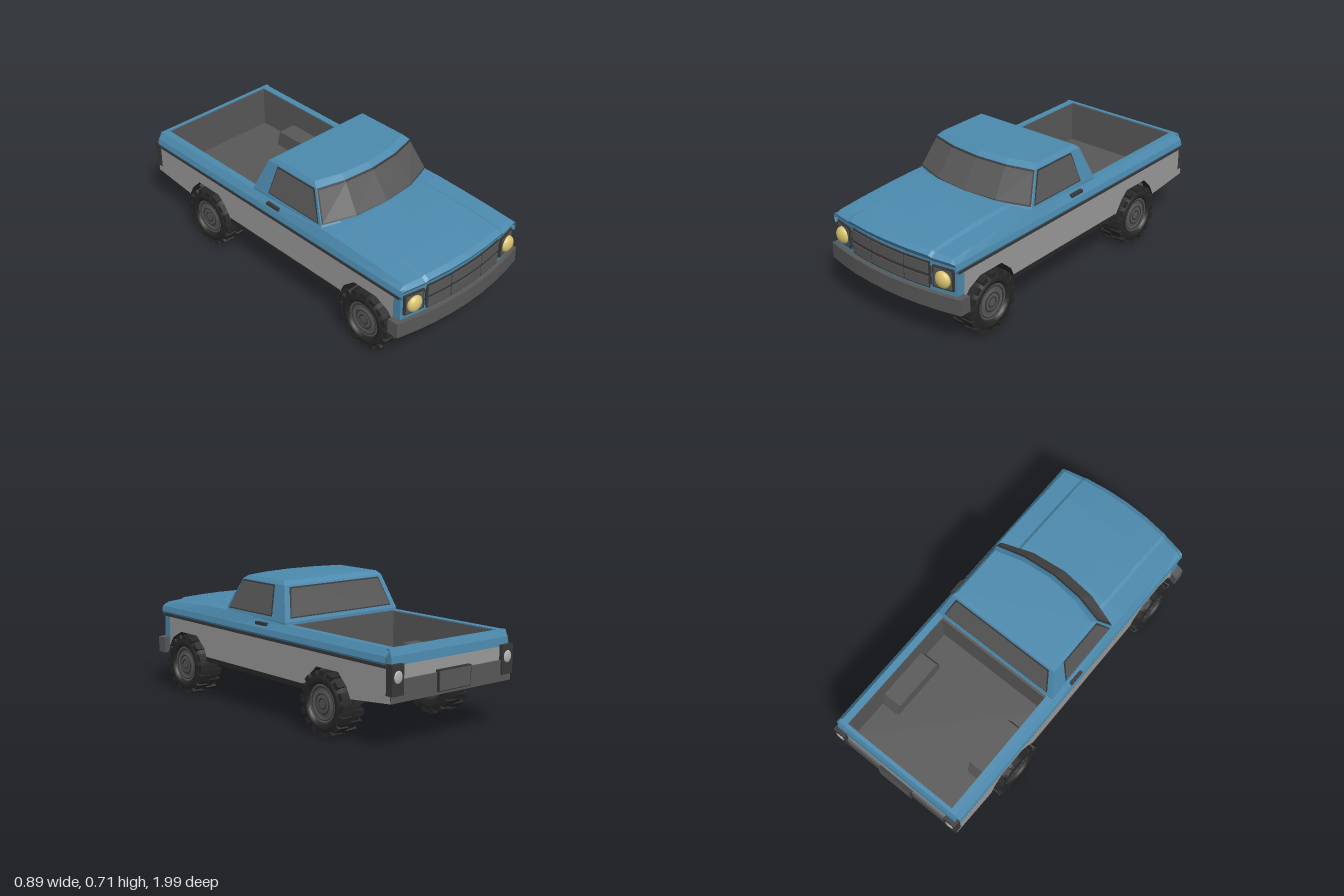
import * as THREE from 'three';

const material = (name, color, side = THREE.FrontSide) => {
  const m = new THREE.MeshStandardMaterial({ color, side });
  m.name = name;
  return m;
};

export function createModel() {
  const truck = new THREE.Group();
  truck.name = 'pickupTruck';
  const D = THREE.DoubleSide;
  const blue = material('bluePaint', 0x4c8aae, D);
  const silver = material('greyPaint', 0x9a9a9a);
  const grey = material('darkGrey', 0x585858, D);
  const trim = material('charcoalTrim', 0x383838, D);
  const black = material('blackRubber', 0x272727, D);
  const yellow = material('headlightYellow', 0xdcc470);
  const lens = material('tailLens', 0xb4b4b4);

  const add = (name, geometry, mat, parent = truck) => {
    const mesh = new THREE.Mesh(geometry, mat);
    mesh.name = name;
    parent.add(mesh);
    return mesh;
  };
  // Box given by its limits on each axis
  const box = (name, mat, [x0, x1], [y0, y1], [z0, z1], parent) =>
    add(name, new THREE.BoxGeometry(x1 - x0, y1 - y0, z1 - z0)
      .translate((x0 + x1) / 2, (y0 + y1) / 2, (z0 + z1) / 2), mat, parent);
  // Box bowed backwards towards its ends, like the nose of the truck
  const bowed = (name, mat, [x0, x1], [y0, y1], [z0, z1]) => {
    const g = new THREE.BoxGeometry(x1 - x0, y1 - y0, z1 - z0, 8, 1, 1)
      .translate((x0 + x1) / 2, (y0 + y1) / 2, (z0 + z1) / 2);
    const p = g.attributes.position;
    for (let i = 0; i < p.count; i++) p.setZ(i, p.getZ(i) - 0.3 * p.getX(i) ** 2);
    g.computeVertexNormals();
    return add(name, g, mat);
  };
  // Side profile of [z, y] points extruded from x0 to x1
  const profile = (name, mat, points, x0, x1) => {
    const shape = new THREE.Shape(points.map(([z, y]) => new THREE.Vector2(z, y)));
    const g = new THREE.ExtrudeGeometry(shape, { depth: x1 - x0, bevelEnabled: false });
    return add(name, g.rotateY(-Math.PI / 2).translate(x1, 0, 0), mat);
  };
  // Flat-faced skin through rows of [x, y, z] points
  const loft = (rows, closed = false) => {
    const out = [];
    for (let i = 0; i + 1 < rows.length; i++) {
      const n = rows[i].length;
      for (let j = 0; j < (closed ? n : n - 1); j++) {
        const k = (j + 1) % n;
        const [a, b, c, d] = [rows[i][j], rows[i][k], rows[i + 1][k], rows[i + 1][j]];
        out.push(...a, ...b, ...c, ...a, ...c, ...d);
      }
    }
    const g = new THREE.BufferGeometry();
    g.setAttribute('position', new THREE.Float32BufferAttribute(out, 3));
    g.computeVertexNormals();
    return g;
  };
  // Half section, from the outer edge to the centre, completed by mirroring
  const mirrored = half => [...half, ...half.slice(0, -1).reverse().map(([x, y, z]) => [-x, y, z])];

  // Hood, fenders and cowl: [z, bow, fender height, hood height]
  const hood = [
    [0.968, 1, 0.45, 0.455], [0.985, 1, 0.475, 0.485], [0.955, 0.9, 0.492, 0.503],
    [0.8, 0.6, 0.504, 0.52], [0.6, 0.3, 0.514, 0.53], [0.43, 0, 0.52, 0.536],
    [0.3, 0, 0.52, 0.53], [-0.175, 0, 0.505, 0.505],
  ].map(([z, bow, yF, yH]) => mirrored([
    [0.41, 0.42], [0.42, 0.44], [0.413, Math.min(0.47, yF)], [0.388, yF],
    [0.285, yF + 0.003], [0.268, yH], [0.13, yH + 0.002], [0, yH + 0.003],
  ].map(([x, y]) => [x, y, z - 0.3 * bow * x * x])));
  add('hoodAndFenders', loft(hood), blue);

  // Cab shell: three outlines and a closed roof
  const outline = (y, front, mid, corner, rear, w, wm) => [
    [0, y, front], [wm, y, mid], [w, y, corner], [w, y, rear],
    [-w, y, rear], [-w, y, corner], [-wm, y, mid],
  ];
  const base = outline(0.515, 0.435, 0.413, 0.345, -0.17, 0.385, 0.2);
  const eave = outline(0.695, 0.31, 0.295, 0.255, -0.1, 0.335, 0.18);
  const roof = outline(0.715, 0.285, 0.268, 0.225, -0.075, 0.318, 0.17);
  const skirt = base.map(([x, , z]) => [x, 0.49, z]);
  add('cab', loft([skirt, base, eave, roof, roof.map(() => [0, 0.716, 0.08])], true), blue);

  // Windshield with a thin surround
  const lerp = (a, b, t) => a.map((v, i) => v + (b[i] - v) * t);
  const screen = (v0, v1, inset, lift) => {
    const row = v => {
      const p = [5, 6, 0, 1, 2].map(i => lerp(base[i], eave[i], v));
      p[0] = lerp(p[0], p[1], inset);
      p[4] = lerp(p[4], p[3], inset);
      return p.map(([x, y, z]) => [x, y + lift * 0.6, z + lift]);
    };
    return loft([row(v0), row(v1)]);
  };
  add('windshieldSurround', screen(0.09, 0.98, 0.015, 0.003), trim);
  add('windshield', screen(0.13, 0.93, 0.05, 0.006), grey);

  // Side and rear windows lie on the sloping cab faces
  const sideX = y => 0.385 - (y - 0.515) * 0.278;
  const rearZ = y => -0.17 + (y - 0.515) * 0.389;
  const pane = (name, mat, pts) => add(name, loft([[pts[0], pts[1]], [pts[3], pts[2]]]), mat);
  for (const s of [1, -1]) {
    const win = (e, lift) => [[0.315 + e, 0.54 - e], [-0.05 - e, 0.54 - e], [-0.02 - e, 0.685 + e], [0.24 + e, 0.685 + e]]
      .map(([z, y]) => [s * (sideX(y) + lift), y, z]);
    pane('sideWindowSurround', trim, win(0.007, 0.003));
    pane('sideWindow', grey, win(0, 0.006));
  }
  const back = (e, lift) => [[-0.34 - e, 0.54 - e], [0.34 + e, 0.54 - e], [0.3 + e, 0.678 + e], [-0.3 - e, 0.678 + e]]
    .map(([x, y]) => [x, y, rearZ(y) - lift]);
  pane('rearWindowSurround', trim, back(0.007, 0.003));
  pane('rearWindow', grey, back(0, 0.006));

  // Wheel arch outlines
  const frontArch = [[0.9, 0.215], [0.835, 0.3], [0.755, 0.34], [0.6, 0.34], [0.53, 0.28], [0.5, 0.215]];
  const rearArch = [[-0.34, 0.215], [-0.4, 0.3], [-0.445, 0.34], [-0.61, 0.34], [-0.67, 0.28], [-0.7, 0.222]];
  const lower = [[0.915, 0.42], [0.915, 0.215], ...frontArch, ...rearArch, [-0.98, 0.25], [-0.965, 0.42]];
  const rail = [[0.41, 0.42], [0.42, 0.44], [0.413, 0.47], [0.388, 0.505], [0.35, 0.505], [0.35, 0.42]];

  for (const s of [1, -1]) {
    const span = (a, b) => (s > 0 ? [a, b] : [-b, -a]);
    // Lower side panel, sill and belt trim
    profile('lowerSidePanel', [silver, black], lower, ...span(0.36, 0.408));
    box('sill', black, span(0.36, 0.411), [0.21, 0.235], [-0.345, 0.505]);
    box('beltTrim', trim, span(0.39, 0.416), [0.414, 0.43], [-0.955, 0.91]);
    // Bed rail and inner wall
    add('bedRail', loft([-0.955, -0.17].map(z => rail.map(([x, y]) => [s * x, y, z])), true), blue);
    box('bedSideWall', grey, span(0.348, 0.36), [0.26, 0.5], [-0.94, -0.175]);
    // Wheel housings
    for (const [name, arch, mat] of [['frontWheelHousing', frontArch, black], ['rearWheelHousing', rearArch, grey]]) {
      const z0 = arch[0][0], z1 = arch[5][0];
      profile(name + 'Wall', mat, [[z0, 0.23], [z0 - 0.03, 0.365], [z1 + 0.03, 0.365], [z1, 0.23]], ...span(0.24, 0.25));
      profile(name, [mat, mat], [...arch, [z1 - 0.005, 0.25], [z1 + 0.03, 0.365], [z0 - 0.03, 0.365], [z0 + 0.005, 0.25]], ...span(0.25, 0.36));
      add(name + 'Liner', loft([0.252, 0.404].map(x => arch.map(([z, y]) => [s * x, y - 0.002, z]))), black);
    }
    // Floor beside the wheels
    box('sideFloor', black, span(0.26, 0.37), [0.215, 0.26], [-0.34, 0.5]);
    profile('rearSideFloor', black, [[-0.7, 0.222], [-0.7, 0.26], [-0.975, 0.262], [-0.975, 0.25]], ...span(0.26, 0.37));
    // Door handle
    box('doorHandle', trim, span(0.385, 0.414), [0.484, 0.499], [-0.04, 0.05]);
    // Headlight in its square bezel
    bowed('headlightBezel', trim, span(0.283, 0.397), [0.32, 0.437], [0.95, 0.978]);
    bowed('headlightPanel', grey, span(0.292, 0.388), [0.329, 0.428], [0.97, 0.981]);
    add('headlight', new THREE.SphereGeometry(0.046, 20, 12).scale(1, 1, 0.6).translate(s * 0.342, 0.376, 0.945), yellow);
    // Tail lamp
    box('tailLampHousing', trim, span(0.335, 0.41), [0.285, 0.435], [-0.993, -0.95]);
    add('tailLamp', new THREE.SphereGeometry(0.028, 16, 10).scale(1, 1.15, 0.3).translate(s * 0.372, 0.375, -0.991), lens);
  }

  // Underside and bed
  profile('underside', black, [[0.93, 0.215], [0.93, 0.26], [-0.975, 0.26], [-0.975, 0.25], [-0.7, 0.222], [-0.4, 0.215]], -0.262, 0.262);
  box('bedFloor', grey, [-0.355, 0.355], [0.258, 0.268], [-0.94, -0.175]);
  box('bedFrontWall', grey, [-0.36, 0.36], [0.24, 0.502], [-0.188, -0.172]);
  box('bedRearWall', grey, [-0.352, 0.352], [0.26, 0.5], [-0.94, -0.93]);

  // Tailgate, rear bumper and plate
  profile('tailgate', blue, [[-0.935, 0.42], [-0.935, 0.505], [-0.955, 0.505], [-0.968, 0.47], [-0.972, 0.42]], -0.395, 0.395);
  box('tailgateBand', silver, [-0.408, 0.408], [0.355, 0.425], [-0.972, -0.935]);
  box('rearBumper', grey, [-0.407, 0.407], [0.25, 0.358], [-0.983, -0.94]);
  box('rearPlateMount', trim, [-0.11, 0.11], [0.265, 0.372], [-0.996, -0.975]);
  box('rearPlate', grey, [-0.104, 0.104], [0.271, 0.366], [-0.998, -0.99]);

  // Nose panel, front bumper and grille
  bowed('nosePanel', blue, [-0.41, 0.41], [0.25, 0.455], [0.92, 0.968]);
  bowed('frontBumper', grey, [-0.445, 0.445], [0.207, 0.293], [0.93, 0.993]);
  bowed('grilleFrame', trim, [-0.262, 0.262], [0.304, 0.446], [0.95, 0.975]);
  bowed('grilleFrameSides', trim, [-0.27, 0.27], [0.325, 0.425], [0.95, 0.9745]);
  for (const [y0, y1] of [[0.312, 0.366], [0.384, 0.438]])
    for (const [x0, x1] of [[-0.258, -0.115], [-0.107, 0.107], [0.115, 0.258]])
      bowed('grillePanel', grey, [x0, x1], [y0, y1], [0.965, 0.979]);

  // Wheels: lathed tyre, tread blocks, stepped hub
  const ring = pts => new THREE.LatheGeometry(pts.map(([r, y]) => new THREE.Vector2(r, y)), 28).rotateZ(-Math.PI / 2);
  for (const s of [1, -1]) for (const z of [0.69, -0.513]) {
    const wheel = new THREE.Group();
    wheel.name = z > 0 ? 'frontWheel' : 'rearWheel';
    wheel.position.set(s * 0.365, 0.167, z);
    wheel.rotation.y = s > 0 ? 0 : Math.PI;
    add('tyre', ring([[0.09, -0.06], [0.12, -0.073], [0.145, -0.066], [0.157, -0.045], [0.157, 0.045],
      [0.145, 0.066], [0.12, 0.073], [0.1, 0.065], [0.098, 0.04]]), black, wheel);
    for (let i = 0; i < 16; i++) {
      const a = (i / 16) * Math.PI * 2;
      for (const t of [1, -1]) {
        const lug = add('treadBlock', new THREE.BoxGeometry(0.066, 0.024, 0.036), black, wheel);
        const turn = a + (t > 0 ? 0 : Math.PI / 16);
        lug.position.set(t * 0.036, Math.cos(turn) * 0.152, Math.sin(turn) * 0.152);
        lug.rotation.x = turn;
      }
    }
    add('rim', ring([[0, -0.055], [0.1, -0.055], [0.1, 0.058], [0.088, 0.062], [0.082, 0.048], [0.055, 0.052],
      [0.052, 0.06], [0, 0.06]]), grey, wheel);
    for (const [r, x] of [[0.084, 0.057], [0.05, 0.06], [0.026, 0.06]])
      add('hubRing', new THREE.TorusGeometry(r, 0.004, 6, 24).rotateY(Math.PI / 2).translate(x, 0, 0), trim, wheel);
    truck.add(wheel);
  }
  return truck;
}
